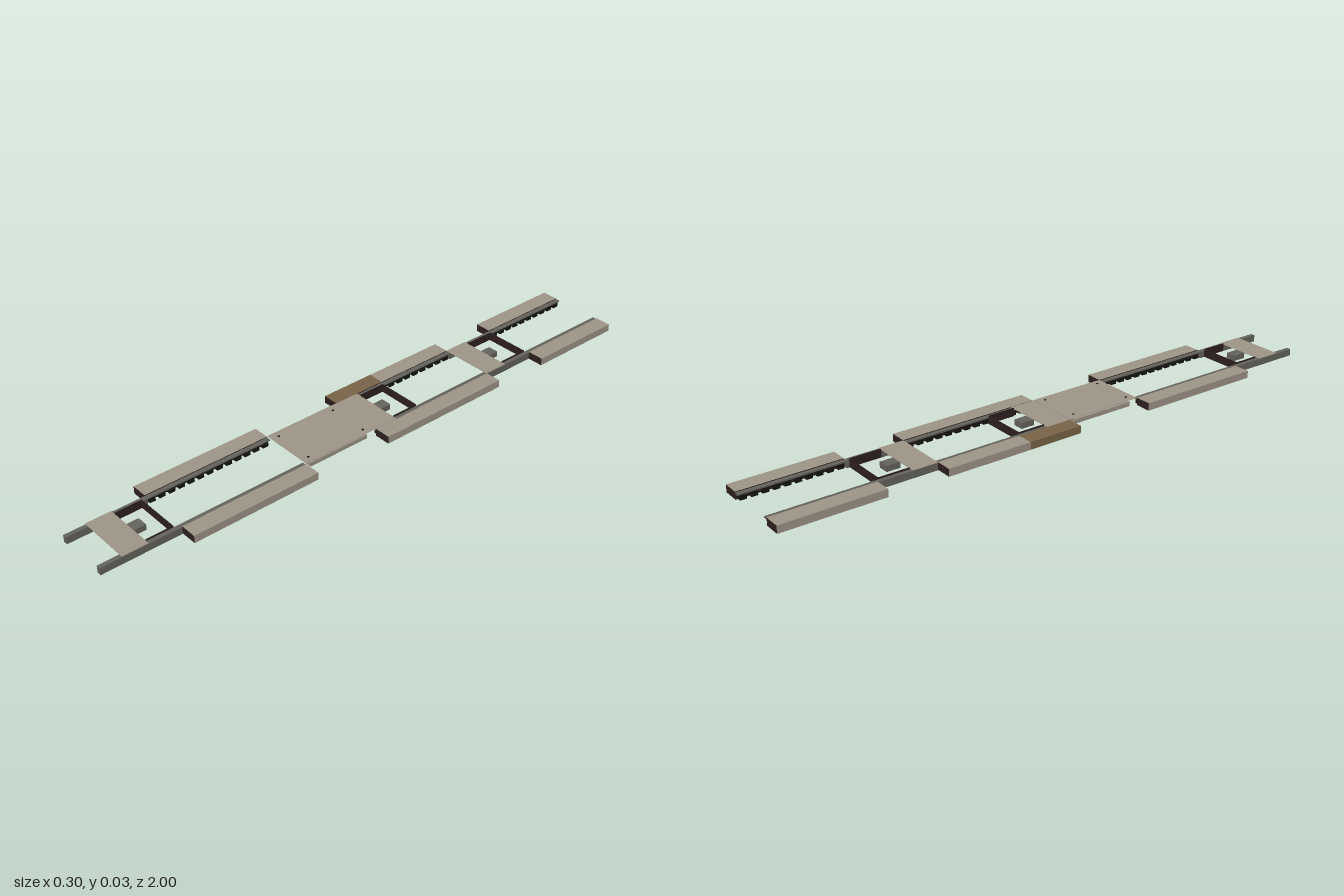
import * as THREE from 'three';

const mat = (name, color, side = THREE.FrontSide) => {
  const m = new THREE.MeshStandardMaterial({ color, side });
  m.name = name;
  return m;
};

export function createModel() {
  const beige = mat('beige panel', 0xa0968a, THREE.DoubleSide);
  const grey = mat('grey steel', 0x65645d);
  const brown = mat('brown panel', 0x7a6548);
  const dark = mat('dark red brown', 0x2e201f, THREE.DoubleSide);
  const red = mat('dark red underside', 0x40282a);
  const navy = mat('navy underside', 0x232838);
  const black = mat('black bracket', 0x161514);

  const model = new THREE.Group();
  model.name = 'longChassis';

  // box given by its limits on each axis
  const box = (name, x0, x1, y0, y1, z0, z1, material, parent = model) => {
    const mesh = new THREE.Mesh(new THREE.BoxGeometry(x1 - x0, y1 - y0, z1 - z0), material);
    mesh.position.set((x0 + x1) / 2, (y0 + y1) / 2, (z0 + z1) / 2);
    mesh.name = name;
    parent.add(mesh);
    return mesh;
  };
  // same, with x limits measured outward from the centre on one side
  const sideBox = (name, s, a, b, y0, y1, z0, z1, m, parent) =>
    box(name, Math.min(s * a, s * b), Math.max(s * a, s * b), y0, y1, z0, z1, m, parent);

  // side decks: side, then segments of [z start, z end, underside, painted all over]
  const decks = [
    [1, [[-1, -0.66, red]]],
    [-1, [[-1, -0.82, red], [-0.82, -0.66, brown]]],
    [1, [[-0.46, 0.02, brown]]],
    [-1, [[-0.46, -0.17, navy], [-0.17, 0.02, brown, true]]],
    [1, [[0.295, 0.5, red], [0.5, 0.735, navy]]],
    [-1, [[0.295, 0.5, navy], [0.5, 0.735, red]]],
  ];
  for (const [s, segments] of decks) {
    const deck = new THREE.Group();
    deck.name = s > 0 ? 'leftDeck' : 'rightDeck';
    model.add(deck);
    for (const [z0, z1, under, painted] of segments) {
      const shell = painted ? brown : beige;
      const faces = [s > 0 ? shell : dark, s > 0 ? dark : shell, shell, under, dark, dark];
      sideBox('deckPanel', s, 0.093, 0.149, 0.001, 0.026, z0, z1, faces, deck);
    }
    // slim rail flange with hanging brackets along the inner edge
    const start = segments[0][0], end = segments[segments.length - 1][1];
    sideBox('railFlange', s, 0.078, 0.093, 0.019, 0.0235, start, end, grey, deck);
    const count = Math.round((end - start) / 0.034);
    const step = (end - start) / count;
    for (let i = 0; i < count; i++) {
      const z = start + (i + 0.5) * step;
      sideBox('railBracket', s, 0.079, 0.093, 0.002, 0.019, z - step * 0.3, z + step * 0.3, black, deck);
    }
  }

  // plain rails between and beyond the decks
  for (const s of [-1, 1]) {
    for (const [z0, z1] of [[-0.66, -0.46], [0.735, 1]]) {
      sideBox('rail', s, 0.078, 0.093, 0, 0.0235, z0, z1, grey);
    }
  }

  // cross plates, each with a coupling block and a thin-walled frame behind it
  for (const [z0, z1, wallZ] of [[-0.545, -0.46, -0.65], [-0.065, 0.025, -0.16], [0.845, 0.93, 0.755]]) {
    const cross = new THREE.Group();
    cross.name = 'crossMember';
    model.add(cross);
    box('crossPlate', -0.094, 0.092, 0.0245, 0.026, z0, z1, beige, cross);
    box('couplingBlock', -0.02, 0.017, 0.004, 0.023, z0 - 0.042, z0 + 0.005, grey, cross);
    box('couplingFoot', -0.011, 0.008, 0, 0.004, z0 - 0.036, z0 - 0.008, grey, cross);
    box('frameWall', -0.078, 0.078, 0.001, 0.029, wallZ - 0.001, wallZ + 0.001, dark, cross);
    for (const s of [-1, 1]) {
      sideBox('frameSide', s, 0.0765, 0.078, 0.001, 0.029, wallZ, z0, dark, cross);
    }
  }

  // centre bay: thin top plate, lower tray rim and four bolts
  const bay = new THREE.Group();
  bay.name = 'centreBay';
  model.add(bay);
  box('bayPlate', -0.094, 0.092, 0.026, 0.027, 0.022, 0.293, beige, bay);
  for (const s of [-1, 1]) {
    sideBox('trayRimSide', s, 0.062, 0.085, 0.001, 0.015, 0.05, 0.272, beige, bay);
    const z = 0.161 + s * 0.1;
    box('trayRimEnd', -0.062, 0.062, 0.001, 0.015, z - 0.011, z + 0.011, beige, bay);
    for (const t of [-1, 1]) {
      const bolt = new THREE.Mesh(new THREE.CylinderGeometry(0.004, 0.004, 0.026, 10), black);
      bolt.position.set(s * 0.07, 0.015, 0.161 + t * 0.107);
      bolt.name = 'bayBolt';
      bay.add(bolt);
    }
  }
  box('trayFloor', -0.062, 0.062, 0.011, 0.015, 0.072, 0.25, beige, bay);

  return model;
}
